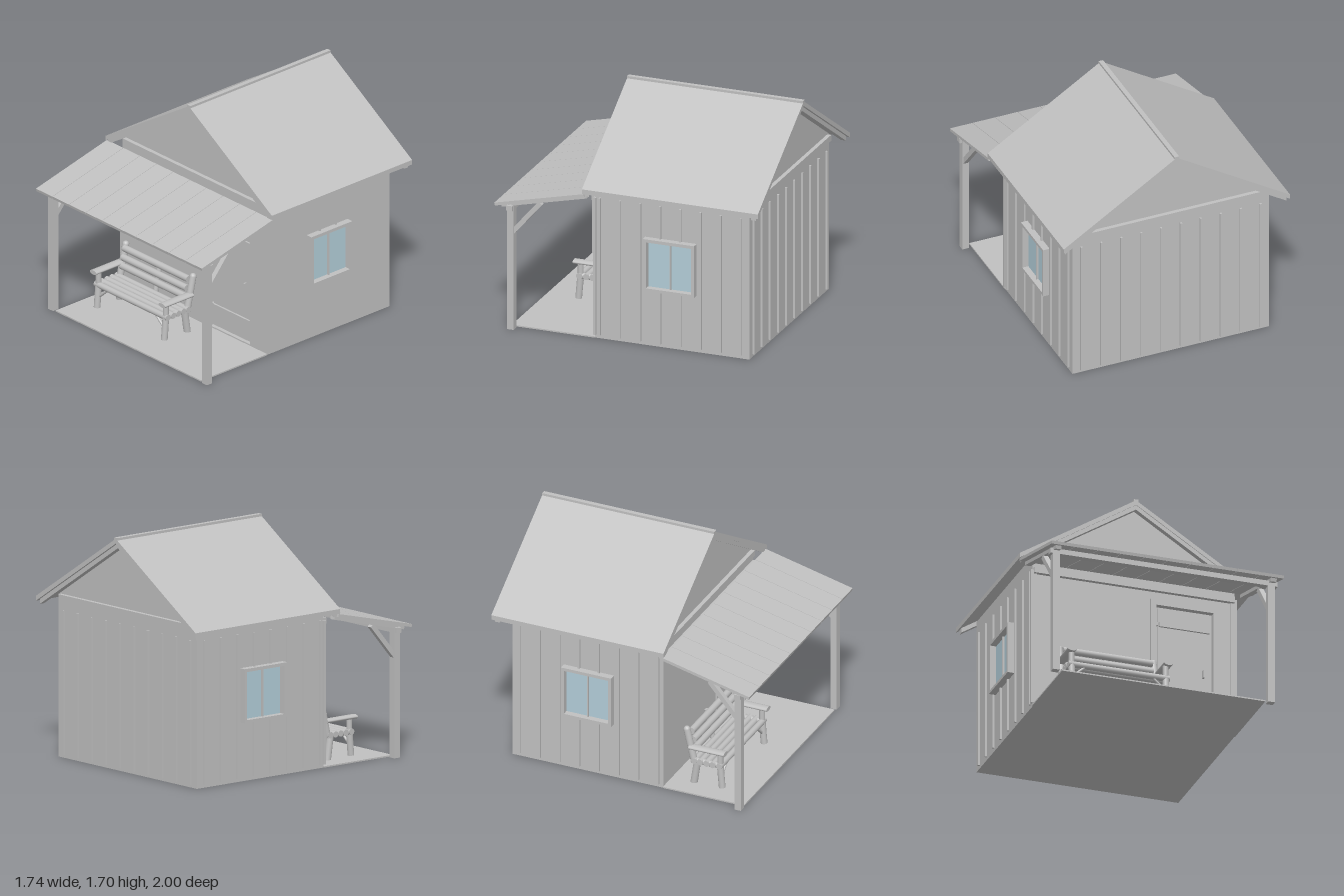
import * as THREE from 'three';

export function createModel() {
  const root = new THREE.Group();
  root.name = 'cabin';
  const wood = new THREE.MeshStandardMaterial({ color: 0xc0c0c0 });
  wood.name = 'grey wood';
  const glass = new THREE.MeshStandardMaterial({ color: 0xb2cdd8 });
  glass.name = 'pale glass';

  const group = (name, parent = root) => {
    const g = new THREE.Group();
    g.name = name;
    parent.add(g);
    return g;
  };
  const add = (name, geo, parent = root, mat = wood) => {
    const m = new THREE.Mesh(geo, mat);
    m.name = name;
    parent.add(m);
    return m;
  };
  // box given by its limits
  const box = (name, x0, x1, y0, y1, z0, z1, parent, mat) => {
    const m = add(name, new THREE.BoxGeometry(x1 - x0, y1 - y0, z1 - z0), parent, mat);
    m.position.set((x0 + x1) / 2, (y0 + y1) / 2, (z0 + z1) / 2);
    return m;
  };
  // square bar between two points
  const bar = (name, p, q, w, t, parent) => {
    const a = new THREE.Vector3(...p), b = new THREE.Vector3(...q);
    const m = add(name, new THREE.BoxGeometry(w, t, a.distanceTo(b)), parent);
    m.position.copy(a).add(b).multiplyScalar(0.5);
    m.lookAt(b);
    return m;
  };
  // round log between two points
  const log = (name, p, q, r, parent, r2 = r) => {
    const a = new THREE.Vector3(...p), b = new THREE.Vector3(...q);
    const m = add(name, new THREE.CylinderGeometry(r2, r, a.distanceTo(b), 14), parent);
    m.position.copy(a).add(b).multiplyScalar(0.5);
    m.quaternion.setFromUnitVectors(new THREE.Vector3(0, 1, 0), b.sub(a).normalize());
    return m;
  };
  const shape = pts => new THREE.Shape(pts.map(p => new THREE.Vector2(...p)));
  const extrude = (name, s, z0, z1, parent) => {
    const m = add(name, new THREE.ExtrudeGeometry(s, { depth: z1 - z0, bevelEnabled: false }), parent);
    m.position.z = z0;
    return m;
  };

  // walls, with a shallow door opening in the front layer
  const W = 0.755;
  const gable = () => shape([[-W, 0], [W, 0], [W, 1.167], [0, 1.64], [-W, 1.167]]);
  extrude('houseBody', gable(), -0.89, 0.25);
  const front = gable();
  front.holes.push(new THREE.Path([[0.167, 0.02], [0.167, 0.93], [0.595, 0.93], [0.595, 0.02]]
    .map(p => new THREE.Vector2(...p))));
  extrude('frontWall', front, 0.25, 0.28);
  box('porchFloor', -0.76, 0.76, 0, 0.01, 0.28, 0.91);

  // roof slab, edge rafters, ridge cap and tie beams
  const chevron = (x, top, t, k = 0.626) => shape([
    [-x, top - k * x], [-x, top - t - k * x], [0, top - t], [x, top - t - k * x], [x, top - k * x], [0, top]]);
  const roof = group('mainRoof');
  extrude('roofSlab', chevron(0.87, 1.695, 0.035), -1, 0.335, roof);
  box('ridgeCap', -0.017, 0.017, 1.675, 1.702, -1, 0.335, roof);
  for (const z of [-0.98, 0.29]) extrude('gableRafter', chevron(0.85, 1.66, 0.035), z, z + 0.04, roof);
  box('frontTieBeam', -0.72, 0.72, 1.13, 1.175, 0.28, 0.31, roof);
  box('backTieBeam', -0.72, 0.72, 1.13, 1.175, -0.92, -0.89, roof);

  // vertical battens on the back and both sides
  const battens = group('wallBattens');
  for (let i = 0; i < 10; i++) {
    const x = (i - 4.5) * 0.153;
    box('backBatten', x - 0.007, x + 0.007, 0.02, 1.06, -0.905, -0.89, battens);
  }
  for (const s of [-1, 1]) {
    const side = (z, y0, y1) =>
      box('sideBatten', s * 0.762 - 0.008, s * 0.762 + 0.008, y0, y1, z - 0.007, z + 0.007, battens);
    for (let i = 0; i < 8; i++) {
      const z = 0.243 - i * 0.153;
      if (z < -0.1 && z > -0.49) {
        side(z, 0.025, 0.43);
        side(z, 0.81, 1.06);
      } else side(z, 0.025, 1.06);
    }
    box('frontCornerBoard', s * 0.747 - 0.023, s * 0.747 + 0.023, 0.025, 1.06, 0.27, 0.29, battens);
  }

  // deep-framed window on each side
  for (const s of [-1, 1]) {
    const win = group(s > 0 ? 'leftWindow' : 'rightWindow');
    const part = (name, y0, y1, z0, z1, x1, mat) =>
      box(name, Math.min(s * 0.75, s * x1), Math.max(s * 0.75, s * x1), y0, y1, z0, z1, win, mat);
    part('windowTop', 0.792, 0.815, -0.49, -0.1, 0.805);
    part('windowSill', 0.425, 0.446, -0.49, -0.1, 0.805);
    part('windowJamb', 0.446, 0.792, -0.125, -0.1, 0.805);
    part('windowJamb', 0.446, 0.792, -0.49, -0.468, 0.805);
    part('windowMullion', 0.446, 0.792, -0.301, -0.293, 0.775);
    part('windowPane', 0.446, 0.792, -0.468, -0.125, 0.759, glass);
  }

  // door with planks, cross boards, hinges and handle
  const door = group('door');
  for (let i = 0; i < 5; i++) {
    const x = 0.186 + i * 0.0785;
    box('doorPlank', x, x + 0.0765, 0.03, 0.92, 0.25, 0.265, door);
  }
  for (const y of [0.165, 0.772]) {
    box('doorCrossBoard', 0.194, 0.57, y, y + 0.035, 0.265, 0.28, door);
    box('doorHinge', 0.167, 0.19, y + 0.01, y + 0.035, 0.25, 0.27, door);
  }
  box('doorHandle', 0.519, 0.53, 0.42, 0.48, 0.265, 0.288, door);
  box('doorFrameSide', 0.125, 0.167, 0.025, 0.97, 0.27, 0.292, door);
  box('doorFrameSide', 0.595, 0.637, 0.025, 0.97, 0.27, 0.292, door);
  box('doorFrameTop', 0.167, 0.595, 0.93, 0.97, 0.27, 0.292, door);

  // porch roof planks, rafters, beam, posts and braces
  const porch = group('porch');
  for (let i = 0; i < 10; i++) {
    const x = -0.87 + (i + 0.5) * 0.174;
    bar('porchRoofPlank', [x, 1.104, 0.322], [x, 0.944, 0.998], 0.171, 0.022, porch);
  }
  box('porchBeam', -0.85, 0.85, 0.9, 0.938, 0.872, 0.918, porch);
  box('wallLedger', -0.75, 0.75, 1.03, 1.075, 0.28, 0.31, porch);
  for (const s of [-1, 1]) {
    const x = s * 0.805;
    bar('porchRafter', [x, 1.085, 0.32], [x, 0.932, 0.965], 0.042, 0.035, porch);
    box('porchPost', x - 0.026, x + 0.026, 0, 0.94, 0.868, 0.918, porch);
    bar('porchBrace', [x, 0.98, 0.67], [x, 0.73, 0.885], 0.038, 0.035, porch);
  }

  // log bench
  const bench = group('logBench');
  bench.position.x = -0.245;
  for (const s of [-1, 1]) {
    const x = s * 0.352;
    log('frontLeg', [x, 0.015, 0.665], [x, 0.19, 0.65], 0.024, bench);
    log('backLeg', [x, 0.005, 0.447], [x, 0.19, 0.475], 0.026, bench);
    log('backPost', [x, 0.17, 0.45], [x, 0.42, 0.392], 0.025, bench);
    const cap = add('backPostCap', new THREE.SphereGeometry(0.025, 14, 8), bench);
    cap.position.set(x, 0.42, 0.392);
    log('sideRail', [x, 0.185, 0.67], [x, 0.185, 0.43], 0.022, bench);
    log('armSupport', [x, 0.19, 0.65], [x, 0.285, 0.65], 0.021, bench);
    const arm = log('armRest', [x + s * 0.008, 0.292, 0.695], [x + s * 0.008, 0.292, 0.42], 0.016, bench);
    arm.scale.x = 2.2;
    log('legBrace', [s * 0.34, 0.1, 0.655], [s * 0.26, 0.17, 0.655], 0.01, bench);
  }
  for (const z of [0.652, 0.6, 0.552, 0.504, 0.458])
    log('seatLog', [-0.378, 0.188, z], [0.378, 0.188, z], 0.023, bench);
  for (const [y, z] of [[0.275, 0.447], [0.335, 0.433], [0.402, 0.418]])
    log('backLog', [-0.335, y, z], [0.335, y, z], 0.025, bench);
  log('centreBackPost', [0, 0.18, 0.43], [0, 0.4, 0.385], 0.019, bench);

  return root;
}
